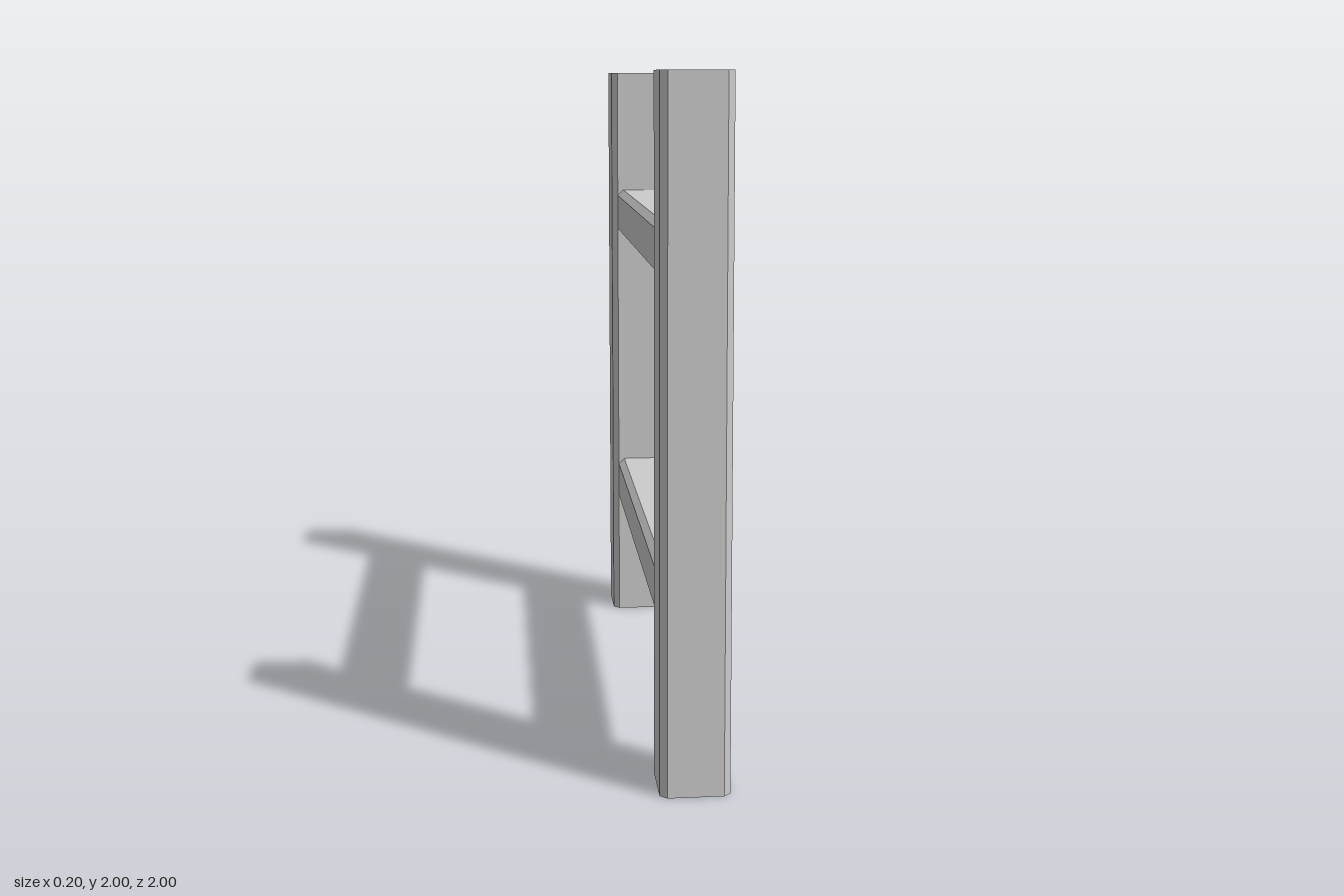
import * as THREE from 'three';

const material = new THREE.MeshStandardMaterial({ color: 0xcccccc, flatShading: true });

// Square bar with chamfered long edges, centred, running along z
function chamferedBar(size, chamfer, length) {
  const h = size / 2, c = h - chamfer;
  const section = new THREE.Shape([
    [c, -h], [h, -c], [h, c], [c, h], [-c, h], [-h, c], [-h, -c], [-c, -h],
  ].map(([x, y]) => new THREE.Vector2(x, y)));
  return new THREE.ExtrudeGeometry(section, { depth: length, bevelEnabled: false })
    .translate(0, 0, -length / 2);
}

export function createModel() {
  const group = new THREE.Group();
  group.name = 'fenceSection';

  // Upright posts at the front and back
  const postGeometry = chamferedBar(0.2, 0.02, 2).rotateX(-Math.PI / 2);
  for (const [name, z] of [['frontPost', 0.9], ['backPost', -0.9]]) {
    const post = new THREE.Mesh(postGeometry, material);
    post.name = name;
    post.position.set(0, 1, z);
    group.add(post);
  }

  // Horizontal rails between the posts
  const railGeometry = chamferedBar(0.16, 0.02, 1.6);
  for (const [name, y] of [['lowerRail', 0.5], ['upperRail', 1.5]]) {
    const rail = new THREE.Mesh(railGeometry, material);
    rail.name = name;
    rail.position.y = y;
    group.add(rail);
  }

  return group;
}
